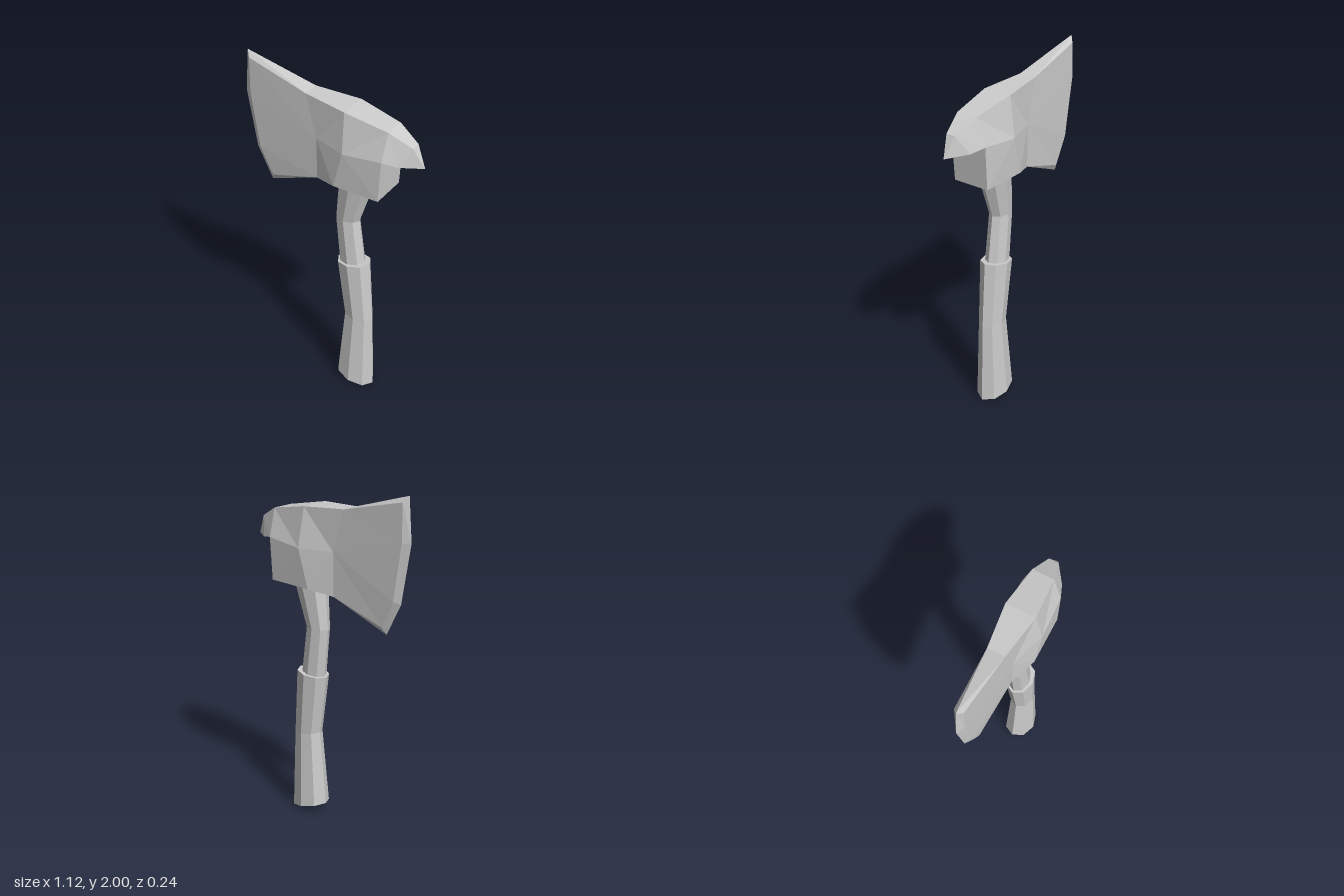
import * as THREE from 'three';

const material = new THREE.MeshStandardMaterial({
  color: 0xcccccc, flatShading: true, roughness: 0.8, side: THREE.DoubleSide,
});

// Fan-triangulates polygons of [x, y, z] corners into one flat-shaded mesh
function polygonMesh(name, polygons) {
  const positions = [];
  for (const p of polygons) {
    for (let i = 1; i < p.length - 1; i++) positions.push(...p[0], ...p[i], ...p[i + 1]);
  }
  const geometry = new THREE.BufferGeometry();
  geometry.setAttribute('position', new THREE.Float32BufferAttribute(positions, 3));
  geometry.computeVertexNormals();
  const mesh = new THREE.Mesh(geometry, material);
  mesh.name = name;
  return mesh;
}

const mirror = ([x, y, z]) => [x, y, -z];

function createHead() {
  // Cutting edge, on the centre plane, from top to bottom
  const edge = [[-0.54, 2, 0], [-0.56, 1.756, 0], [-0.5, 1.416, 0], [-0.405, 1.23, 0]];
  // Back of the edge bevel
  const bevel = [[-0.515, 1.966, 0.025], [-0.517, 1.756, 0.025], [-0.465, 1.43, 0.025], [-0.386, 1.272, 0.022]];
  // Columns of the body, from the blade root to the poll
  const root = [[-0.14, 1.875, 0.05], [-0.07, 1.63, 0.057], [-0.07, 1.38, 0.053]];
  const eye = [[0.12, 1.857, 0.085], [0.13, 1.63, 0.122], [0.07, 1.408, 0.112]];
  const poll = [[0.37, 1.806, 0.062], [0.36, 1.65, 0.112], [0.345, 1.406, 0.11]];
  // Beak behind the poll
  const beak = [[0.495, 1.737, 0.028], [0.44, 1.633, 0.08]];
  const tip = [0.555, 1.623, 0];

  const side = [
    [edge[0], bevel[0], root[0]],
    [edge[3], root[2], bevel[3]],
    [bevel[0], bevel[1], root[1], root[0]],
    [bevel[1], bevel[2], root[1]],
    [bevel[2], bevel[3], root[2], root[1]],
    [root[1], eye[0], root[0]],
    [root[1], eye[1], eye[0]],
    [root[1], eye[2], eye[1]],
    [root[1], root[2], eye[2]],
    [eye[1], poll[0], eye[0]],
    [eye[1], poll[1], poll[0]],
    [eye[1], poll[2], poll[1]],
    [eye[1], eye[2], poll[2]],
    [poll[0], poll[1], beak[1], beak[0]],
    [beak[0], beak[1], tip],
  ];
  for (let i = 0; i < 3; i++) side.push([edge[i], edge[i + 1], bevel[i + 1], bevel[i]]);
  const faces = [...side, ...side.map((f) => f.map(mirror).reverse())];

  // Strip joining both sides around the outline
  const rim = [edge[0], root[0], eye[0], poll[0], beak[0], tip,
    beak[1], poll[1], poll[2], eye[2], root[2], edge[3]];
  for (let i = 0; i < rim.length - 1; i++) {
    const [a, b] = [rim[i], rim[i + 1]];
    const face = [a, b];
    if (b[2] > 0) face.push(mirror(b));
    if (a[2] > 0) face.push(mirror(a));
    faces.push(face);
  }
  return polygonMesh('axeHead', faces);
}

// Capped octagonal tube; sections run upwards as [x, y, radiusX, radiusZ, tilt],
// where tilt raises the +x side and lowers the -x side
function octagonTube(name, sections) {
  const rings = sections.map(([x, y, rx, rz, tilt]) =>
    Array.from({ length: 8 }, (_, i) => {
      const a = (i * Math.PI) / 4;
      return [x + rx * Math.cos(a), y + tilt * Math.cos(a), -rz * Math.sin(a)];
    }));
  const faces = [[...rings[0]].reverse(), rings[rings.length - 1]];
  for (let r = 0; r < rings.length - 1; r++) {
    for (let i = 0; i < 8; i++) {
      const j = (i + 1) % 8;
      faces.push([rings[r][i], rings[r][j], rings[r + 1][j], rings[r + 1][i]]);
    }
  }
  return polygonMesh(name, faces);
}

export function createModel() {
  const model = new THREE.Group();
  model.name = 'axe';
  model.add(
    createHead(),
    octagonTube('handleShaft', [
      [0.134, 0.84, 0.08, 0.06, 0],
      [0.097, 1.155, 0.074, 0.056, 0],
      [0.15, 1.42, 0.108, 0.08, 0],
    ]),
    octagonTube('handleGrip', [
      [0.161, 0.035, 0.119, 0.09, -0.03],
      [0.177, 0.497, 0.09, 0.068, -0.012],
      [0.139, 0.876, 0.102, 0.079, 0.01],
    ]),
  );
  return model;
}
